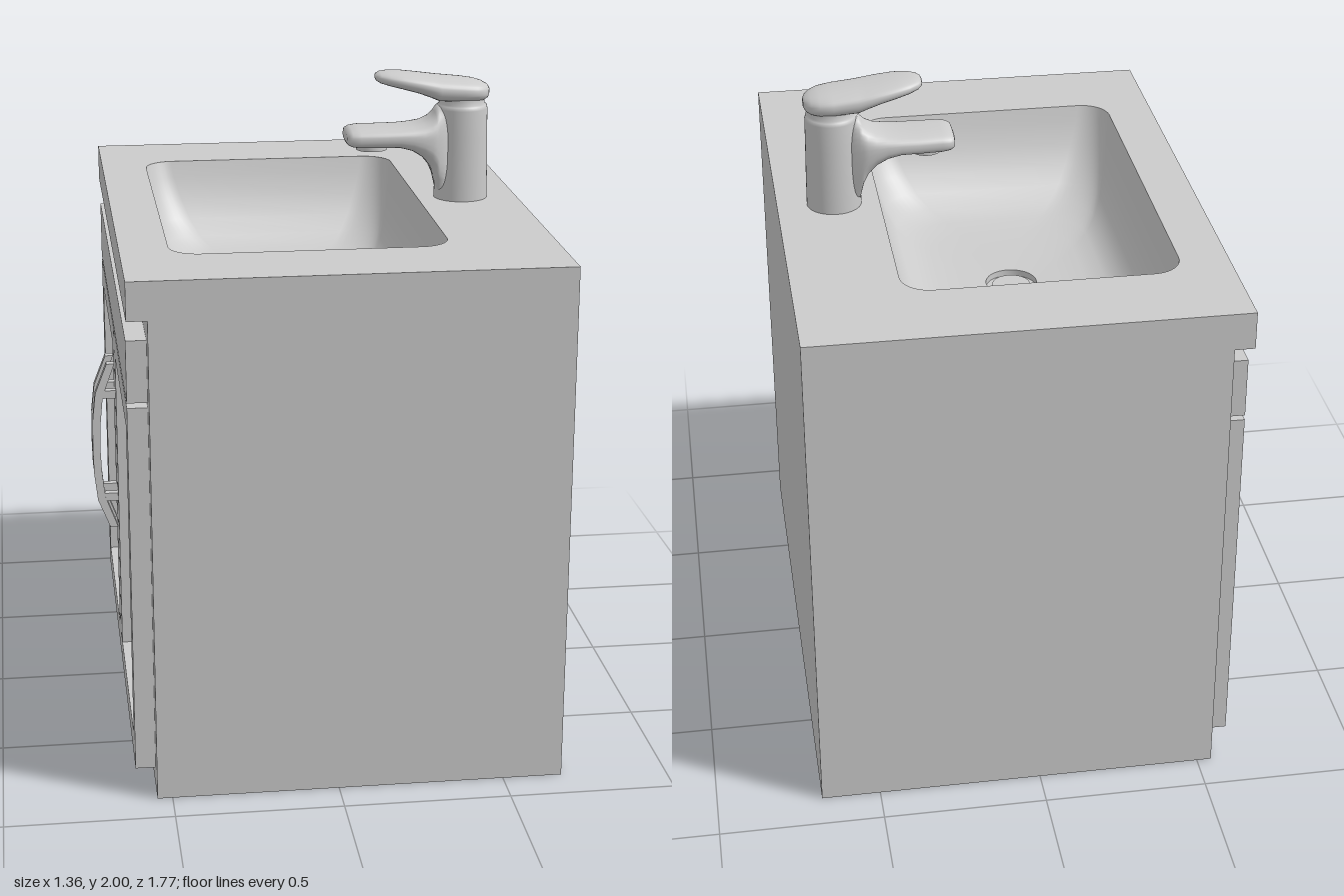
import * as THREE from 'three';
import { toCreasedNormals } from 'three/addons/utils/BufferGeometryUtils.js';

const grey = new THREE.MeshStandardMaterial({ color: 0xcccccc });
const greyDouble = new THREE.MeshStandardMaterial({ color: 0xcccccc, side: THREE.DoubleSide });

const TOP = 1.595, HALF_Z = 0.885, BACK = 0.68, BODY_FRONT = -0.545, FRONT = -0.605;
const BASIN = { x: -0.0475, hx: 0.4125, hz: 0.61, r: 0.09 };

function add(parent, name, geometry, material = grey) {
  const mesh = new THREE.Mesh(geometry, material);
  mesh.name = name;
  parent.add(mesh);
  return mesh;
}

// Box given by its limits
function box(x0, x1, y0, y1, z0, z1) {
  return new THREE.BoxGeometry(x1 - x0, y1 - y0, z1 - z0)
    .translate((x0 + x1) / 2, (y0 + y1) / 2, (z0 + z1) / 2);
}

function rectPoints(x0, x1, y0, y1) {
  return [[x0, y0], [x1, y0], [x1, y1], [x0, y1]].map(p => new THREE.Vector2(...p));
}

// Corner-arc points of a rounded rectangle (a circle when hx = hy = r)
function roundedRect(cx, hx, hy, r, steps = 10) {
  const points = [];
  [[1, 1], [-1, 1], [-1, -1], [1, -1]].forEach(([sx, sy], q) => {
    for (let i = 0; i <= steps; i++) {
      const a = (q + i / steps) * Math.PI / 2;
      points.push(new THREE.Vector2(
        cx + sx * (hx - r) + r * Math.cos(a), sy * (hy - r) + r * Math.sin(a)));
    }
  });
  return points;
}

function extrude(outline, hole, depth) {
  const shape = new THREE.Shape(outline);
  if (hole) shape.holes.push(new THREE.Path(hole));
  return new THREE.ExtrudeGeometry(shape, { depth, bevelEnabled: false });
}

// Skin over equal-length rings of [x, y, z] points, with optional caps
function loft(rings, capStart, capEnd) {
  const n = rings[0].length, position = rings.flat(2), index = [];
  for (let i = 0; i < rings.length - 1; i++) {
    for (let j = 0; j < n; j++) {
      const a = i * n + j, b = i * n + (j + 1) % n;
      index.push(a, b, a + n, b, b + n, a + n);
    }
  }
  const cap = (ring, start, flip) => {
    const centre = position.length / 3;
    for (let k = 0; k < 3; k++) position.push(ring.reduce((s, p) => s + p[k], 0) / n);
    for (let j = 0; j < n; j++) {
      const a = start + j, b = start + (j + 1) % n;
      index.push(centre, ...(flip ? [b, a] : [a, b]));
    }
  };
  if (capStart) cap(rings[0], 0, true);
  if (capEnd) cap(rings[rings.length - 1], (rings.length - 1) * n, false);
  const geometry = new THREE.BufferGeometry();
  geometry.setAttribute('position', new THREE.Float32BufferAttribute(position, 3));
  geometry.setIndex(index);
  geometry.computeVertexNormals();
  return geometry;
}

// Soft solid along x from stations [x, low y, high y, half width]
function softBar(stations, power) {
  const curve = t => Math.sign(t) * Math.abs(t) ** (2 / power);
  return loft(stations.map(([x, y0, y1, hz]) => Array.from({ length: 40 }, (_, j) => {
    const a = j / 40 * Math.PI * 2;
    return [x, (y0 + y1) / 2 + (y1 - y0) / 2 * curve(Math.cos(a)), hz * curve(Math.sin(a))];
  })), true, true);
}

function buildCabinet() {
  const g = new THREE.Group();
  g.name = 'cabinet';
  const outer = rectPoints(BODY_FRONT, BACK, -HALF_Z, HALF_Z);
  const inner = rectPoints(BODY_FRONT + 0.04, BACK - 0.04, -HALF_Z + 0.04, HALF_Z - 0.04);
  add(g, 'cabinetWalls', extrude(outer, inner, 1.48).rotateX(-Math.PI / 2));
  add(g, 'cabinetFloor', box(BODY_FRONT + 0.04, BACK - 0.04, 0, 0.04, -HALF_Z + 0.04, HALF_Z - 0.04));
  add(g, 'drawerFront', box(FRONT, BODY_FRONT, 1.22, 1.405, -0.82, 0.82));

  // Bow handle outline, seen from the side
  const bow = [[-0.632, 1.097], [-0.67, 1.0], [-0.68, 0.91], [-0.682, 0.82], [-0.68, 0.73], [-0.67, 0.64],
    [-0.632, 0.545], [-0.607, 0.545], [-0.646, 0.65], [-0.655, 0.74], [-0.658, 0.82], [-0.655, 0.9],
    [-0.646, 0.99], [-0.607, 1.097]].map(p => new THREE.Vector2(...p));

  for (const [side, s] of [['left', 1], ['right', -1]]) {
    const [z0, z1] = s > 0 ? [0.005, 0.82] : [-0.82, -0.005];
    const frame = extrude(rectPoints(z0, z1, 0.07, 1.205),
      rectPoints(z0 + 0.078, z1 - 0.078, 0.148, 1.127), 0.06);
    add(g, side + 'DoorFrame', frame.rotateY(-Math.PI / 2).translate(BODY_FRONT, 0, 0));
    add(g, side + 'DoorPanel', box(FRONT + 0.03, BODY_FRONT, 0.14, 1.135, z0 + 0.07, z1 - 0.07));

    const handle = new THREE.Group();
    handle.name = side + 'Handle';
    add(handle, 'bow', extrude(bow, null, 0.028).translate(0, 0, s * 0.045 - 0.014));
    for (const y of [0.995, 0.648]) {
      add(handle, 'post', box(-0.655, FRONT, y - 0.013, y + 0.013, s * 0.045 - 0.012, s * 0.045 + 0.012));
    }
    g.add(handle);
  }
  return g;
}

function buildSink() {
  const g = new THREE.Group();
  g.name = 'sink';
  const opening = roundedRect(BASIN.x, BASIN.hx, BASIN.hz, BASIN.r);
  add(g, 'countertop', extrude(rectPoints(FRONT, BACK, -HALF_Z, HALF_Z), opening, TOP - 1.48)
    .rotateX(-Math.PI / 2).translate(0, 1.48, 0));

  // Bowl levels: inset in x, inset in z, depth, corner radius
  const levels = [[0, 0, 0, 0.09], [0.008, 0.015, 0.05, 0.09], [0.02, 0.04, 0.12, 0.1],
    [0.035, 0.075, 0.18, 0.11], [0.055, 0.115, 0.23, 0.12], [0.085, 0.165, 0.27, 0.13],
    [0.125, 0.22, 0.295, 0.14], [0.18, 0.29, 0.308, 0.14], [0.25, 0.4, 0.315, 0.12]]
    .map(([ix, iz, d, r]) => [BASIN.hx - ix, BASIN.hz - iz, d, r]);
  levels.push([0.08, 0.08, 0.32, 0.08], [0.08, 0.08, 0.34, 0.08]);
  const rings = levels.map(([hx, hz, d, r]) =>
    roundedRect(BASIN.x, hx, hz, r).map(p => [p.x, TOP - d, -p.y]));
  add(g, 'basin', toCreasedNormals(loft(rings, false, true), 0.8), greyDouble);
  add(g, 'drainPlug', new THREE.CylinderGeometry(0.06, 0.06, 0.012, 40)
    .translate(BASIN.x, TOP - 0.334, 0));
  return g;
}

function buildFaucet() {
  const g = new THREE.Group();
  g.name = 'faucet';
  const profile = [[0.084, 0], [0.083, 0.1], [0.081, 0.2], [0.08, 0.285], [0.077, 0.296], [0.07, 0.3], [0.07, 0.32]]
    .map(p => new THREE.Vector2(...p));
  add(g, 'body', new THREE.LatheGeometry(profile, 48).translate(0.504, TOP, 0));
  add(g, 'spout', softBar([[0.134, 1.785, 1.81, 0.05], [0.138, 1.776, 1.82, 0.07], [0.15, 1.769, 1.826, 0.08],
    [0.175, 1.765, 1.83, 0.084], [0.25, 1.764, 1.83, 0.086], [0.3, 1.763, 1.831, 0.086],
    [0.34, 1.752, 1.835, 0.086], [0.375, 1.73, 1.842, 0.085], [0.4, 1.7, 1.856, 0.083],
    [0.415, 1.665, 1.872, 0.079], [0.425, 1.62, 1.89, 0.073], [0.45, 1.6, 1.892, 0.062]], 2.7));
  add(g, 'aerator', new THREE.CylinderGeometry(0.048, 0.048, 0.03, 32).translate(0.218, 1.769, 0));
  add(g, 'lever', softBar([[0.227, 1.978, 1.986, 0.012], [0.231, 1.971, 1.993, 0.03], [0.243, 1.964, 1.998, 0.048],
    [0.27, 1.956, 2.0, 0.066], [0.31, 1.946, 1.998, 0.078], [0.36, 1.932, 1.992, 0.084],
    [0.4, 1.917, 1.987, 0.086], [0.425, 1.906, 1.984, 0.086], [0.5, 1.902, 1.976, 0.086],
    [0.54, 1.902, 1.97, 0.078], [0.565, 1.905, 1.962, 0.063], [0.58, 1.912, 1.954, 0.042],
    [0.587, 1.922, 1.946, 0.018]], 2.4));
  return g;
}

export function createModel() {
  const model = new THREE.Group();
  model.name = 'bathroomVanity';
  model.add(buildCabinet(), buildSink(), buildFaucet());
  return model;
}
